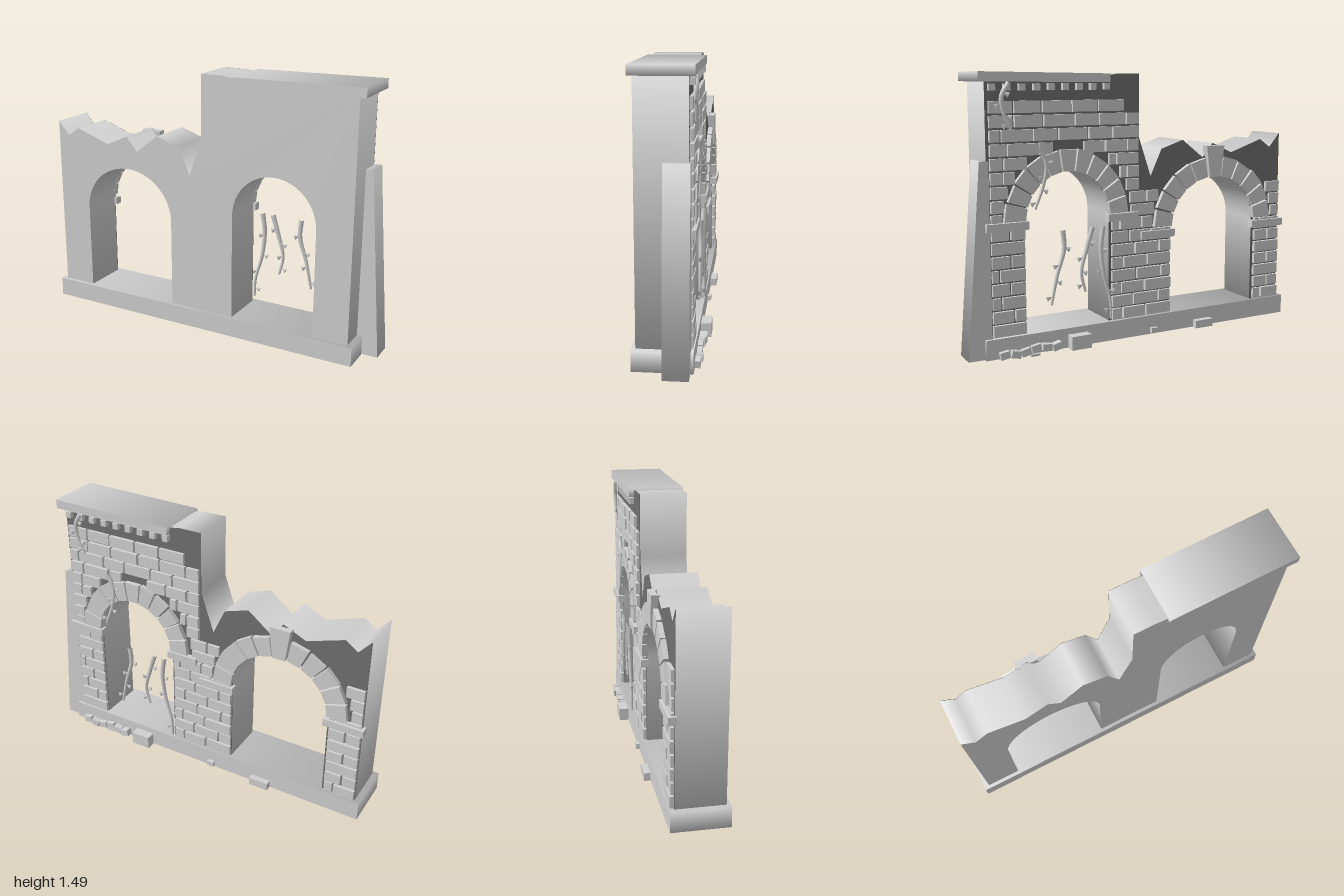
import * as THREE from 'three';
import { toCreasedNormals } from 'three/addons/utils/BufferGeometryUtils.js';

function material(name, color) {
  const m = new THREE.MeshStandardMaterial({ color });
  m.name = name;
  return m;
}
const stone = material('pale grey stone', 0xd0d0d0);
const mortar = material('dark grey mortar', 0x707070);

const FRONT = 0.16, BACK = -0.10;
// Openings: centre, half width, spring height, rise
const arches = [
  { name: 'wideArch', c: -0.487, w: 0.287, s: 0.62, h: 0.27, ring: 0.12, count: 11, key: true },
  { name: 'tallArch', c: 0.435, w: 0.245, s: 0.72, h: 0.25, ring: 0.12, count: 11, key: false },
];

let seed = 7;
const rnd = () => (seed = (seed * 16807) % 2147483647) / 2147483647;

function add(parent, name, geo, x = 0, y = 0, z = 0) {
  const m = new THREE.Mesh(geo, stone);
  m.name = name;
  m.position.set(x, y, z);
  parent.add(m);
  return m;
}

// Box given by its limits
function block(parent, name, x0, x1, y0, y1, z0, z1) {
  return add(parent, name, new THREE.BoxGeometry(x1 - x0, y1 - y0, z1 - z0),
    (x0 + x1) / 2, (y0 + y1) / 2, (z0 + z1) / 2);
}

// Outline in x and y, pushed through from z0 to z1
function slab(parent, name, pts, z0, z1) {
  const shape = new THREE.Shape(pts.map(p => new THREE.Vector2(p[0], p[1])));
  const geo = new THREE.ExtrudeGeometry(shape, { depth: z1 - z0, bevelEnabled: false });
  return add(parent, name, toCreasedNormals(geo, 0.4), 0, 0, z0);
}

// Slab whose rim is shaded smoothly all the way round, with flat front and back
function smoothSlab(...args) {
  const mesh = slab(...args);
  const { position, normal } = mesh.geometry.attributes;
  const sums = new Map();
  const rim = [];
  for (let i = 0; i < position.count; i++) {
    if (Math.abs(normal.getZ(i)) > 0.5) continue;
    const key = `${position.getX(i).toFixed(4)},${position.getY(i).toFixed(4)}`;
    if (!sums.has(key)) sums.set(key, new THREE.Vector3());
    sums.get(key).add(new THREE.Vector3(normal.getX(i), normal.getY(i), 0));
    rim.push([i, key]);
  }
  for (const n of sums.values()) n.normalize();
  for (const [i, key] of rim) normal.setXYZ(i, ...sums.get(key).toArray());
  return mesh;
}

const archPoint = (a, t, grow = 0) =>
  [a.c + Math.cos(t) * (a.w + grow), a.s + Math.sin(t) * (a.h + grow)];

function subGroup(root, name) {
  const g = new THREE.Group();
  g.name = name;
  root.add(g);
  return g;
}

// Broken wall with two arched openings, and the mortar facing on its back
function buildWall(root) {
  const pts = [[-0.97, 0.1]];
  for (const a of arches) {
    pts.push([a.c - a.w, 0.1]);
    for (let i = 0; i <= 24; i++) pts.push(archPoint(a, Math.PI * (1 - i / 24)));
    pts.push([a.c + a.w, 0.1]);
  }
  pts.push([0.88, 0.1], [0.88, 1.44], [0.19, 1.465], [0.13, 1.475], [0, 1.475], [0, 1.13],
    [-0.075, 0.91], [-0.145, 1.06], [-0.285, 1.105], [-0.42, 1.0], [-0.49, 1.08],
    [-0.62, 1.02], [-0.83, 1.09], [-0.9, 1.04], [-0.97, 1.12]);
  smoothSlab(root, 'wall', pts, BACK + 0.002, FRONT);
  slab(root, 'mortarFacing', pts, BACK, BACK + 0.002).material = mortar;
}

// Courses of bricks on the back, leaving the openings and arch rings free
function buildBricks(root) {
  const g = subGroup(root, 'bricks');
  const pitch = 0.072, gap = 0.011;
  for (let row = 0; row < 17; row++) {
    const y0 = 0.125 + row * pitch, y1 = y0 + pitch - gap;
    const left = y0 > 1.25 ? 0.1 : y0 > 0.78 ? 0.01 : -0.965;
    let spans = [[left, 0.875]];
    for (const a of arches) {
      let half = a.w;
      const d = y0 + 0.02 - a.s;
      if (d > 0) {
        const k = 1 - (d / (a.h + a.ring)) ** 2;
        half = k > 0 ? (a.w + a.ring) * Math.sqrt(k) : 0;
      } else if (y1 > a.s) half = a.w + a.ring;
      if (half === 0) continue;
      const l = a.c - half - 0.004, r = a.c + half + 0.004;
      spans = spans.flatMap(([p, q]) => [[p, Math.min(q, l)], [Math.max(p, r), q]])
        .filter(([p, q]) => q - p > 0.025);
    }
    for (const [p, q] of spans) {
      let x = p, first = row % 2 === 1;
      while (x < q - 0.02) {
        let w = (0.13 + rnd() * 0.05) * (first ? 0.5 : 1);
        if (q - x - w < 0.04) w = q - x;
        block(g, 'brick', x, x + w - gap, y0, y1, BACK - 0.014 - rnd() * 0.008, BACK + 0.01);
        x += w;
        first = false;
      }
    }
  }
}

// Wedge stones round each opening, and the ledges they spring from
function buildArches(root) {
  for (const a of arches) {
    const g = subGroup(root, a.name);
    for (let i = 0; i < a.count; i++) {
      const isKey = a.key && i === (a.count - 1) / 2;
      const t0 = Math.PI * (i + 0.05) / a.count, t1 = Math.PI * (i + 0.95) / a.count;
      const out = isKey ? 0.18 : a.ring - rnd() * 0.012;
      slab(g, isKey ? 'keystone' : 'wedgeStone',
        [archPoint(a, t0), archPoint(a, t0, out), archPoint(a, t1, out), archPoint(a, t1)],
        BACK - (isKey ? 0.035 : 0.026), BACK + 0.01);
    }
  }
  const ledges = subGroup(root, 'ledges');
  for (const [x0, x1, y] of [[-0.985, -0.758, 0.565], [-0.215, 0.0, 0.565],
    [0.02, 0.205, 0.68], [0.665, 0.895, 0.68]])
    block(ledges, 'ledge', x0, x1, y, y + 0.042, BACK - 0.034, BACK + 0.01);
}

// Tapered stem with small pointed leaves
function buildVine(root, name, path) {
  const g = subGroup(root, name);
  const curve = new THREE.CatmullRomCurve3(path.map(([x, y]) => new THREE.Vector3(x, y, -0.125)));
  const segs = 14, sides = 6;
  const geo = new THREE.TubeGeometry(curve, segs, 1, sides);
  const pos = geo.attributes.position, v = new THREE.Vector3();
  for (let i = 0; i < pos.count; i++) {
    const t = Math.floor(i / (sides + 1)) / segs;
    const c = curve.getPointAt(t);
    v.fromBufferAttribute(pos, i).sub(c).multiplyScalar(0.014 - 0.007 * t).add(c);
    pos.setXYZ(i, v.x, v.y, v.z);
  }
  add(g, 'stem', geo);
  for (const [t, s] of [[0.25, -1], [0.48, 1], [0.7, -1], [0.9, 1]]) {
    const c = curve.getPointAt(t);
    const leaf = add(g, 'leaf', new THREE.ConeGeometry(0.016, 0.032, 5), c.x + s * 0.018, c.y, c.z);
    leaf.rotation.z = s * 1.2;
    leaf.scale.z = 0.5;
  }
}

export function createModel() {
  const root = new THREE.Group();
  root.name = 'ruinedArcade';

  buildWall(root);
  smoothSlab(root, 'plinth', [[-1, 0.012], [0.91, 0.012], [0.91, 0.12], [-1, 0.12]], -0.125, 0.18);
  smoothSlab(root, 'coping', [[0.19, 1.43], [0.92, 1.435], [0.92, 1.485], [0.19, 1.475]], -0.13, 0.18);
  smoothSlab(root, 'buttress', [[0.87, 0.015], [1, 0.015], [0.92, 1.04], [0.87, 1.04]], -0.11, 0.02);

  buildBricks(root);
  buildArches(root);

  // Small blocks under the coping
  const dentils = subGroup(root, 'dentils');
  for (let i = 0; i < 9; i++) {
    const x = 0.19 + i * 0.08;
    block(dentils, 'dentil', x, x + 0.034, 1.39, 1.425, BACK - 0.026, BACK + 0.01);
  }

  buildVine(root, 'vineA', [[0.235, 0.66], [0.25, 0.55], [0.235, 0.4], [0.195, 0.25], [0.19, 0.14]]);
  buildVine(root, 'vineB', [[0.3, 0.66], [0.335, 0.55], [0.368, 0.42], [0.345, 0.31]]);
  buildVine(root, 'vineC', [[0.475, 0.66], [0.468, 0.56], [0.51, 0.42], [0.545, 0.26]]);
  buildVine(root, 'vineD', [[0.6, 1.1], [0.565, 1.02], [0.58, 0.91], [0.63, 0.78]]);
  buildVine(root, 'vineE', [[0.76, 1.43], [0.8, 1.36], [0.79, 1.28], [0.75, 1.19]]);

  // Fallen stones along the foot of the back
  const rubble = subGroup(root, 'rubble');
  block(rubble, 'fallenBlock', 0.335, 0.45, 0.01, 0.085, -0.18, -0.12);
  block(rubble, 'fallenBlock', -0.465, -0.35, 0.01, 0.055, -0.16, -0.12);
  block(rubble, 'fallenChip', -0.1, -0.06, 0.02, 0.05, -0.145, -0.12);
  for (let i = 0; i < 6; i++) {
    const x = 0.5 + i * 0.058, y = 0.03 + 0.015 * rnd();
    const chip = block(rubble, 'fallenChip', x, x + 0.052, y - 0.018, y + 0.02, -0.15 - rnd() * 0.015, -0.12);
    chip.rotation.z = (rnd() - 0.5) * 0.5;
  }
  block(rubble, 'fallenChip', 0.62, 0.67, 0, 0.012, -0.14, -0.09);
  return root;
}
